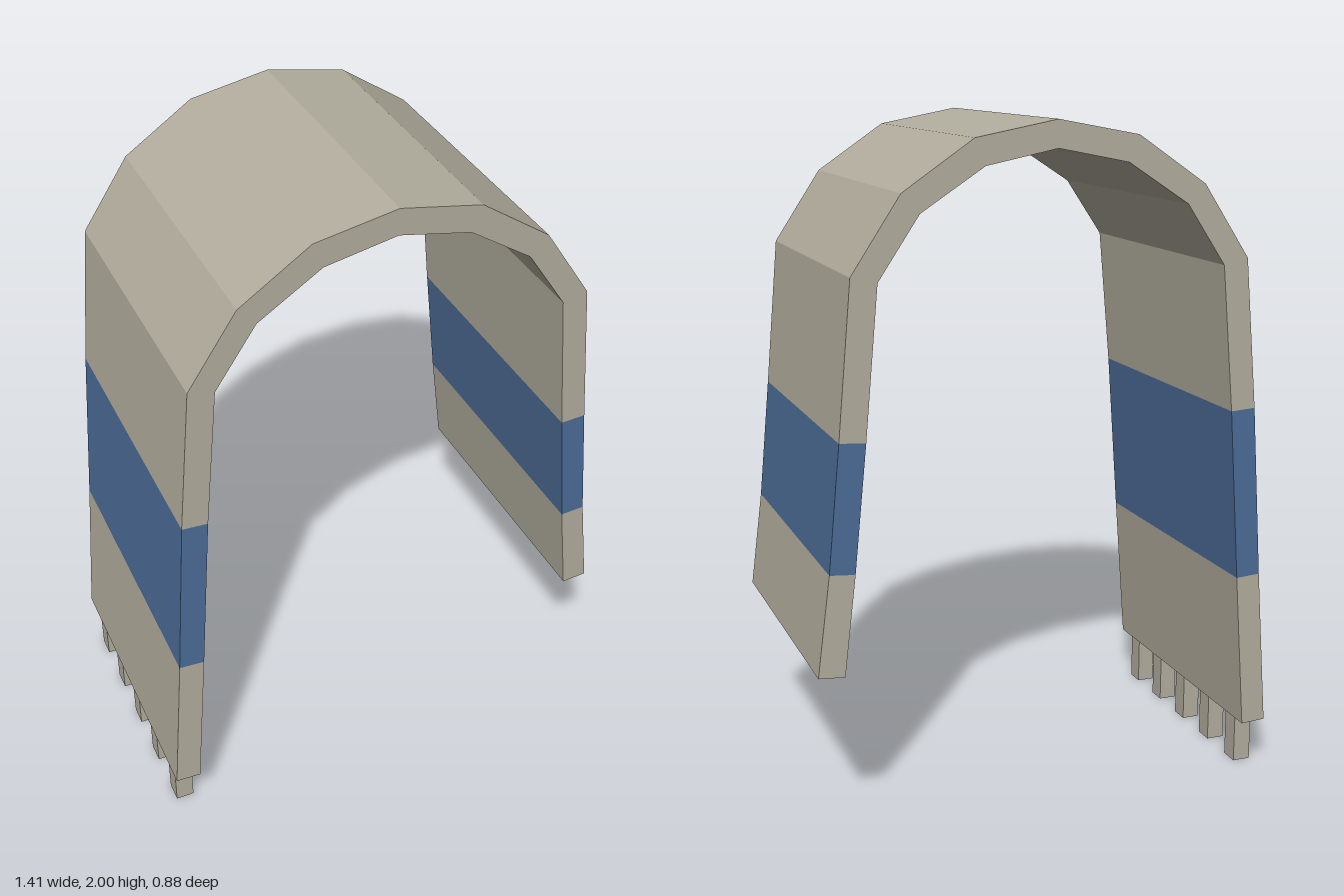
import * as THREE from 'three';

const HALF_DEPTH = 0.44;
const beige = new THREE.MeshStandardMaterial({ color: 0xb3ae9e, flatShading: true });
const blue = new THREE.MeshStandardMaterial({ color: 0x4d6d98, flatShading: true });

// Cross-sections of the cloth: [outer x, outer y, inner x, inner y]
const shoulder = [-0.59, 1.6, -0.515, 1.582];
const bandTop = [-0.631, 1.155, -0.555, 1.15];
const arch = [shoulder, [-0.447, 1.815, -0.395, 1.76], [-0.24, 1.955, -0.21, 1.88]];
const mirror = ([ox, oy, ix, iy]) => [-ox, oy, -ix, iy];

const longHem = [-0.706, 0.156, -0.63, 0.152];
const longBandBottom = [-0.668, 0.636, -0.593, 0.631];
const shortBandBottom = [0.667, 0.787, 0.593, 0.781];
const shortHem = [0.706, 0.491, 0.629, 0.485];

// Slab of cloth following the sections, running from -x over the top to +x
function clothStrip(name, sections, material, capStart = false, capEnd = false) {
  const positions = [];
  const quad = (a, b, c, d) => [a, b, c, a, c, d].forEach((p) => positions.push(...p));
  const corners = ([ox, oy, ix, iy]) => ({
    oF: [ox, oy, HALF_DEPTH], oB: [ox, oy, -HALF_DEPTH],
    iF: [ix, iy, HALF_DEPTH], iB: [ix, iy, -HALF_DEPTH],
  });
  const rings = sections.map(corners);
  for (let k = 0; k < rings.length - 1; k++) {
    const a = rings[k], b = rings[k + 1];
    quad(a.oF, b.oF, b.oB, a.oB); // outside
    quad(a.iB, b.iB, b.iF, a.iF); // lining
    quad(a.iF, b.iF, b.oF, a.oF); // front edge
    quad(a.oB, b.oB, b.iB, a.iB); // back edge
  }
  const first = rings[0], last = rings[rings.length - 1];
  if (capStart) quad(first.oB, first.iB, first.iF, first.oF);
  if (capEnd) quad(last.iB, last.oB, last.oF, last.iF);
  const geometry = new THREE.BufferGeometry();
  geometry.setAttribute('position', new THREE.Float32BufferAttribute(positions, 3));
  geometry.computeVertexNormals();
  const mesh = new THREE.Mesh(geometry, material);
  mesh.name = name;
  return mesh;
}

export function createModel() {
  const model = new THREE.Group();
  model.name = 'drapedCloth';

  // Cloth panels and coloured stripes
  const top = [bandTop, ...arch, [0, 2, 0, 1.922], ...[...arch].reverse().map(mirror), mirror(bandTop)];
  model.add(
    clothStrip('rightHem', [longHem, longBandBottom], beige, true),
    clothStrip('rightStripe', [longBandBottom, bandTop], blue),
    clothStrip('archedTop', top, beige),
    clothStrip('leftStripe', [mirror(bandTop), shortBandBottom], blue),
    clothStrip('leftHem', [shortBandBottom, shortHem], beige, false, true),
  );

  // Fringe tassels under the longer side
  const fringe = new THREE.Group();
  fringe.name = 'fringe';
  const tasselGeometry = new THREE.BoxGeometry(0.055, 0.156, 0.06);
  for (let i = -2; i <= 2; i++) {
    const tassel = new THREE.Mesh(tasselGeometry, beige);
    tassel.name = 'tassel';
    tassel.position.set(-0.666, 0.078, i * 0.175);
    fringe.add(tassel);
  }
  model.add(fringe);
  return model;
}
